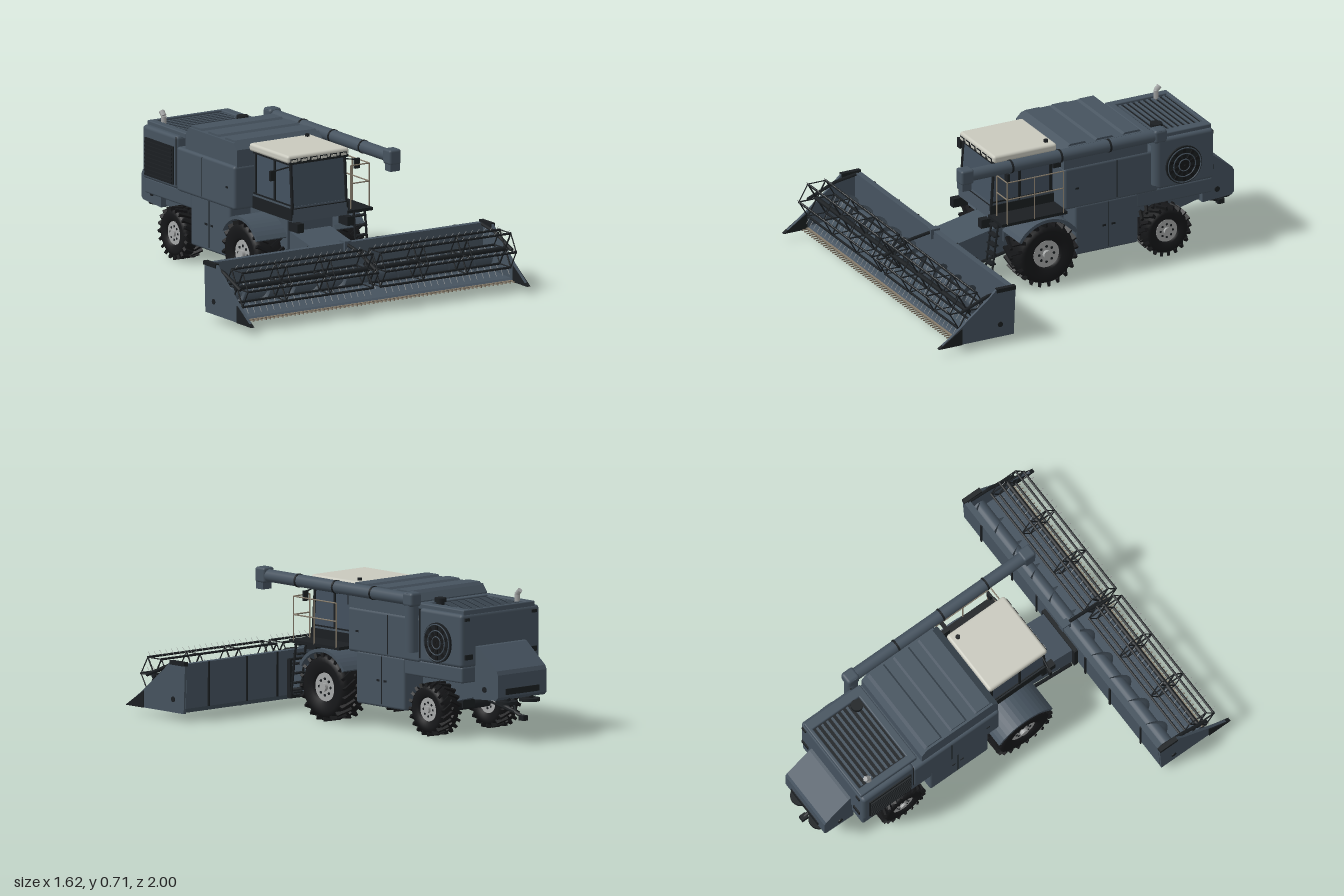
import * as THREE from 'three';
import { mergeGeometries } from 'three/addons/utils/BufferGeometryUtils.js';
import { RoundedBoxGeometry } from 'three/addons/geometries/RoundedBoxGeometry.js';
import { ParametricGeometry } from 'three/addons/geometries/ParametricGeometry.js';

const mat = (name, color, side = THREE.FrontSide) => {
  const m = new THREE.MeshStandardMaterial({ color, side });
  m.name = name;
  return m;
};
const V = (x, y, z) => new THREE.Vector3(x, y, z);

// Box from its limits, optionally rounded
function box(x0, x1, y0, y1, z0, z1, r = 0) {
  const s = [x1 - x0, y1 - y0, z1 - z0];
  const g = r ? new RoundedBoxGeometry(...s, 2, r) : new THREE.BoxGeometry(...s);
  return g.translate((x0 + x1) / 2, (y0 + y1) / 2, (z0 + z1) / 2);
}
// Side outline of [z, y] points stretched across x
function slab(pts, x0, x1) {
  const shape = new THREE.Shape(pts.map(([z, y]) => new THREE.Vector2(z, y)));
  return new THREE.ExtrudeGeometry(shape, { depth: x1 - x0, bevelEnabled: false })
    .rotateY(-Math.PI / 2).translate(x1, 0, 0);
}
// Round bar between two points
function rod(a, b, r = 0.005, sides = 6) {
  const d = b.clone().sub(a);
  const q = new THREE.Quaternion().setFromUnitVectors(V(0, 1, 0), d.clone().normalize());
  return new THREE.CylinderGeometry(r, r, d.length(), sides).applyQuaternion(q)
    .translate((a.x + b.x) / 2, (a.y + b.y) / 2, (a.z + b.z) / 2);
}
// Disc or drum with its axis along x
const drum = (x0, x1, y, z, r, sides = 32) => rod(V(x0, y, z), V(x1, y, z), r, sides);
const path = (pts, r) => pts.slice(1).map((p, i) => rod(pts[i], p, r));

export function createModel() {
  const paint = mat('slate paint', 0x46535f);
  const glass = mat('cab glass', 0x43515f);
  const dark = mat('dark trim', 0x1b1f22);
  const rubber = mat('tyre rubber', 0x161719);
  const steel = mat('wheel steel', 0xa6a8a8);
  const cream = mat('roof cream', 0xc9c9be);
  const tan = mat('rail tan', 0x857b6b);
  const flightMat = mat('auger slate', 0x3c4751, THREE.DoubleSide);
  const model = new THREE.Group();
  // One mesh per part, merged from any nesting of geometries
  const add = (name, material, geos, parent = model) => {
    const list = [geos].flat(Infinity).map(g => (g.index ? g.toNonIndexed() : g));
    const mesh = new THREE.Mesh(mergeGeometries(list), material);
    mesh.name = name;
    parent.add(mesh);
  };

  // Body
  add('belly', paint, slab([[0.28, 0.36], [0.28, 0.2], [0.05, 0.11], [-0.4, 0.11], [-0.8, 0.21], [-0.8, 0.36]], -0.13, 0.13));
  add('sidePanels', paint, box(-0.25, 0.25, 0.105, 0.365, -0.4, -0.05, 0.012));
  add('upperBody', paint, box(-0.262, 0.252, 0.355, 0.575, -0.51, 0.01, 0.015));
  add('rearSkirt', paint, box(-0.25, 0.245, 0.285, 0.365, -0.81, -0.39, 0.01));
  add('engineHousing', paint, box(-0.262, 0.252, 0.36, 0.625, -0.815, -0.505, 0.018));
  add('grainTank', paint, slab([[0.01, 0.57], [-0.45, 0.57], [-0.45, 0.645], [-0.42, 0.685], [-0.02, 0.685], [0.01, 0.655]], -0.247, 0.247));
  add('tankCoverFolds', paint, [-0.37, -0.22, -0.07].map(z =>
    slab([[z + 0.055, 0.68], [z - 0.055, 0.68], [z - 0.04, 0.695], [z + 0.04, 0.695]], -0.235, 0.235)));
  add('panelSeams', dark, [-1, 1].map(s => {
    const f = s > 0 ? 0.251 : -0.261, l = s * 0.2495;
    return [box(l - 0.002, l + 0.002, 0.12, 0.355, -0.237, -0.233),
      box(f - 0.002, f + 0.002, 0.37, 0.565, -0.282, -0.278),
      box(f - 0.002, f + 0.002, 0.455, 0.465, -0.07, -0.05),
      box(l - 0.003, l + 0.003, 0.23, 0.24, -0.22, -0.2),
      box(l - 0.003, l + 0.003, 0.23, 0.24, -0.27, -0.25),
      box(f - 0.002, f + 0.002, 0.38, 0.62, -0.514, -0.509)];
  }));

  // Engine deck
  add('deckFrame', paint, [box(-0.235, -0.195, 0.615, 0.645, -0.81, -0.48, 0.006), box(0.185, 0.235, 0.615, 0.645, -0.81, -0.48, 0.006),
    box(-0.235, 0.235, 0.615, 0.645, -0.81, -0.79, 0.006), box(-0.235, 0.235, 0.615, 0.645, -0.51, -0.47, 0.006)]);
  add('deckMesh', dark, box(-0.2, 0.19, 0.622, 0.63, -0.795, -0.505));
  add('deckSlats', paint, Array.from({ length: 9 }, (_, i) => box(-0.19, 0.18, 0.63, 0.637, -0.775 + i * 0.03, -0.763 + i * 0.03)));
  add('exhaust', steel, path([V(-0.19, 0.62, -0.73), V(-0.19, 0.675, -0.73), V(-0.19, 0.695, -0.75)], 0.014));
  add('airIntake', dark, [rod(V(0.15, 0.62, -0.55), V(0.15, 0.65, -0.55), 0.02, 16), rod(V(0.15, 0.65, -0.55), V(0.15, 0.67, -0.55), 0.03, 16)]);
  add('coolingFan', dark, drum(0.25, 0.262, 0.47, -0.645, 0.098));
  add('fanGuard', paint, [0.03, 0.06, 0.09].map(r => new THREE.TorusGeometry(r, 0.003, 5, 32).rotateY(Math.PI / 2).translate(0.266, 0.47, -0.645)));
  add('fanBlades', rubber, Array.from({ length: 10 }, (_, i) =>
    new THREE.BoxGeometry(0.012, 0.08, 0.016).translate(0, 0.045, 0).rotateX(i * Math.PI / 5).translate(0.26, 0.47, -0.645)));
  add('sideVent', dark, [box(-0.268, -0.26, 0.38, 0.57, -0.78, -0.53),
    Array.from({ length: 9 }, (_, i) => box(-0.276, -0.26, 0.385 + i * 0.02, 0.395 + i * 0.02, -0.775, -0.535))]);

  // Straw hood, spreaders and hitch
  add('strawHood', paint, slab([[-0.8, 0.465], [-0.83, 0.46], [-0.965, 0.355], [-0.975, 0.335], [-0.975, 0.225], [-0.96, 0.21], [-0.8, 0.2]], -0.16, 0.16));
  add('spreaders', dark, [-1, 1].map(s => [rod(V(s * 0.075, 0.185, -0.945), V(s * 0.075, 0.2, -0.945), 0.052, 20),
    rod(V(s * 0.075, 0.2, -0.945), V(s * 0.075, 0.225, -0.945), 0.02, 12)]));
  add('hitch', dark, [rod(V(0, 0.18, -0.78), V(0, 0.115, -0.985), 0.01), box(-0.015, 0.015, 0.1, 0.125, -1, -0.965),
    [-1, 1].map(s => rod(V(s * 0.1, 0.2, -0.79), V(0, 0.13, -0.93), 0.006))]);
  add('rearLamps', dark, [-1, 1].map(s => [box(s * 0.21 - 0.025, s * 0.21 + 0.025, 0.4, 0.425, -0.822, -0.81),
    box(s * 0.22 - 0.015, s * 0.22 + 0.015, 0.59, 0.605, -0.822, -0.81), drum(s * 0.16 - 0.005, s * 0.16 + 0.005, 0.255, -0.88, 0.014, 12)]));
  add('hoodGrille', dark, box(-0.11, 0.11, 0.235, 0.265, -0.979, -0.97));

  // Cab
  add('cabBase', paint, slab([[0.02, 0.355], [0.02, 0.43], [0.365, 0.43], [0.375, 0.355]], -0.16, 0.16));
  add('cabGlass', glass, slab([[0.02, 0.43], [0.02, 0.645], [0.345, 0.645], [0.362, 0.43]], -0.155, 0.155));
  add('cabFrame', dark, [-1, 1].map(s => [rod(V(s * 0.156, 0.42, 0.362), V(s * 0.156, 0.645, 0.347), 0.008),
    [0.03, 0.2].map(z => box(s * 0.156 - 0.004, s * 0.156 + 0.004, 0.42, 0.645, z, z + 0.014)),
    box(s * 0.156 - 0.004, s * 0.156 + 0.004, 0.425, 0.437, 0.02, 0.362),
    box(s * 0.156 - 0.004, s * 0.156 + 0.004, 0.632, 0.646, 0.02, 0.347)]));
  add('cabFrontBar', dark, [box(-0.156, 0.156, 0.418, 0.422, 0.36, 0.37), box(-0.17, 0.17, 0.64, 0.653, 0.33, 0.361)]);
  add('cabRoof', cream, box(-0.18, 0.178, 0.645, 0.685, 0.01, 0.36, 0.014));
  add('roofLampHousings', dark, Array.from({ length: 6 }, (_, i) => box(-0.165 + i * 0.057, -0.125 + i * 0.057, 0.648, 0.668, 0.35, 0.364)));
  add('roofLamps', cream, Array.from({ length: 6 }, (_, i) => box(-0.161 + i * 0.057, -0.129 + i * 0.057, 0.652, 0.664, 0.36, 0.366)));
  add('beacon', dark, rod(V(0.135, 0.68, 0.05), V(0.135, 0.698, 0.05), 0.011, 12));
  add('mirrors', dark, [-1, 1].map(s => [box(s * 0.245 - 0.015, s * 0.245 + 0.015, 0.565, 0.615, 0.315, 0.328),
    rod(V(s * 0.16, 0.625, 0.335), V(s * 0.245, 0.61, 0.322), 0.004)]));

  // Access platform, ladder and rails
  add('platform', dark, [box(0.155, 0.3, 0.36, 0.375, 0.02, 0.38), box(0.155, 0.165, 0.36, 0.42, 0.02, 0.37), box(-0.165, -0.155, 0.36, 0.42, 0.02, 0.37)]);
  add('ladder', dark, [[0.19, 0.255].map(x => rod(V(x, 0.375, 0.375), V(x, 0.08, 0.415), 0.006)),
    Array.from({ length: 6 }, (_, i) => box(0.19, 0.255, 0.1 + i * 0.048, 0.107 + i * 0.048, 0.395 - i * 0.0065, 0.425 - i * 0.0065))]);
  add('platformRails', tan, [[0.5, 0.59].map(y => path([V(0.19, y, 0.35), V(0.298, y, 0.35), V(0.298, y, 0.04)], 0.0035)),
    [0.35, 0.2, 0.04].map(z => rod(V(0.298, 0.37, z), V(0.298, 0.59, z), 0.0035)), rod(V(0.19, 0.37, 0.35), V(0.19, 0.59, 0.35), 0.0035)]);

  // Unloading tube
  add('unloadingTube', paint, [rod(V(0.283, 0.668, 0.56), V(0.283, 0.668, -0.49), 0.031, 20), rod(V(0.283, 0.41, -0.487), V(0.283, 0.7, -0.487), 0.033, 20),
    box(0.249, 0.318, 0.635, 0.705, -0.525, -0.455, 0.015), box(0.25, 0.317, 0.632, 0.708, 0.54, 0.61, 0.012), box(0.255, 0.312, 0.6, 0.64, 0.555, 0.605)]);
  add('tubeClamps', dark, [0.33, 0.06, -0.21].map(z => rod(V(0.283, 0.668, z), V(0.283, 0.668, z - 0.01), 0.034, 20)));
  add('tubeBracket', dark, [box(0.2, 0.28, 0.635, 0.645, 0.03, 0.05), box(0.2, 0.215, 0.575, 0.645, 0, 0.05)]);

  // Wheels: lathed tyre, angled lugs, rim with hub and bolts
  function wheel(name, x, z, R, w, rim) {
    const g = new THREE.Group();
    g.name = name;
    const r = R - 0.012, h = w / 2;
    const prof = [[rim, -h * 0.75], [rim * 1.15, -h * 0.95], [r * 0.8, -h], [r * 0.95, -h * 0.9], [r, -h * 0.6],
      [r, h * 0.6], [r * 0.95, h * 0.9], [r * 0.8, h], [rim * 1.15, h * 0.95], [rim, h * 0.75]];
    add('tyre', rubber, new THREE.LatheGeometry(prof.map(p => new THREE.Vector2(...p)), 36).rotateZ(Math.PI / 2), g);
    const n = 20, lugs = [];
    for (let i = 0; i < n; i++) for (const s of [-1, 1]) {
      lugs.push(new THREE.BoxGeometry(w * 0.53, 0.022, 0.014).rotateY(s * 0.5)
        .translate(s * w * 0.25, R - 0.011, 0).rotateX((i + (s > 0 ? 0.5 : 0)) * Math.PI * 2 / n));
    }
    add('lugs', rubber, lugs, g);
    add('rim', steel, [drum(-h * 0.78, h * 0.78, 0, 0, rim), drum(-h, h, 0, 0, rim * 0.3, 16)], g);
    const bolts = [];
    for (let i = 0; i < 8; i++) {
      const a = i * Math.PI / 4;
      bolts.push(drum(-h * 0.82, h * 0.82, Math.cos(a) * rim * 0.58, Math.sin(a) * rim * 0.58, rim * 0.1, 8));
    }
    add('bolts', dark, bolts, g);
    g.position.set(x, R, z);
    model.add(g);
  }
  for (const s of [-1, 1]) {
    const side = s > 0 ? 'left' : 'right';
    wheel(side + 'FrontWheel', s * 0.23, 0.13, 0.167, 0.155, 0.07);
    wheel(side + 'RearWheel', s * 0.195, -0.56, 0.13, 0.115, 0.058);
    const arch = r => Array.from({ length: 17 }, (_, i) => {
      const a = 0.55 + i * (Math.PI - 1.1) / 16;
      return [0.13 + r * Math.cos(a), 0.167 + r * Math.sin(a)];
    });
    const x = s > 0 ? [0.14, 0.313] : [-0.313, -0.14];
    add(side + 'Fender', paint, slab([...arch(0.19), ...arch(0.174).reverse()], ...x));
  }
  add('axles', dark, [drum(-0.2, 0.2, 0.167, 0.13, 0.035, 12), drum(-0.17, 0.17, 0.13, -0.56, 0.025, 12), box(-0.04, 0.04, 0.12, 0.25, -0.59, -0.53)]);

  // Feeder house
  add('feederHouse', paint, slab([[0.58, 0.225], [0.58, 0.06], [0.3, 0.14], [0.1, 0.17], [0.1, 0.31], [0.28, 0.285]], -0.116, 0.118));
  add('feederFrame', dark, [-1, 1].map(s => [box(s * 0.122 - 0.012, s * 0.122 + 0.012, 0.05, 0.235, 0.555, 0.578),
    rod(V(s * 0.13, 0.15, 0.25), V(s * 0.13, 0.09, 0.54), 0.009), box(s * 0.145 - 0.018, s * 0.145 + 0.018, 0.31, 0.355, 0.34, 0.42)]));
  add('feederLip', dark, [box(-0.13, 0.13, 0.225, 0.24, 0.555, 0.578), box(-0.13, 0.13, 0.045, 0.06, 0.555, 0.578)]);

  // Header trough and end dividers
  add('headerTrough', paint, slab([[0.575, 0.28], [0.605, 0.28], [0.608, 0.12], [0.64, 0.06], [0.85, 0.052], [0.87, 0.04], [0.61, 0.035], [0.58, 0.06]], -0.795, 0.795));
  add('dividers', paint, [-1, 1].map(s => slab([[0.575, 0.285], [0.585, 0.035], [0.998, 0.035], [0.9, 0.105], [0.73, 0.24], [0.68, 0.285]],
    s * 0.799 - 0.007, s * 0.799 + 0.007)));
  add('dividerTips', dark, [-1, 1].map(s => [slab([[0.87, 0.035], [1, 0.035], [0.87, 0.12]], s * 0.801 - 0.01, s * 0.801 + 0.01),
    drum(s * 0.801 - 0.008, s * 0.801 + 0.008, 0.1, 0.66, 0.014, 12), box(s * 0.8 - 0.012, s * 0.8 + 0.012, 0.27, 0.29, 0.575, 0.68)]));
  add('headerRibs', dark, [-0.65, -0.4, -0.2, 0.2, 0.4, 0.65].map(x => [box(x - 0.005, x + 0.005, 0.06, 0.28, 0.57, 0.577), box(x - 0.005, x + 0.005, 0.032, 0.037, 0.62, 0.84)]));
  add('knifeBar', tan, box(-0.79, 0.79, 0.036, 0.044, 0.855, 0.875));
  add('knifeFingers', tan, Array.from({ length: 66 }, (_, i) => box(-0.782 + i * 0.024, -0.778 + i * 0.024, 0.038, 0.044, 0.87, 0.905)));

  // Crop auger with opposed spiral flights
  add('augerTube', paint, drum(-0.79, 0.79, 0.12, 0.66, 0.036, 20));
  add('augerFlights', flightMat, [-1, 1].map(s => new ParametricGeometry((u, v, p) => {
    const a = u * Math.PI * 10, r = 0.034 + v * 0.027;
    p.set(s * (0.04 + u * 0.74), 0.12 + r * Math.cos(a), 0.66 + r * Math.sin(a));
  }, 120, 1)));

  // Reel: two halves, six bars each, with tines and spiders
  const RY = 0.195, RZ = 0.825, RR = 0.098;
  const bars = [], tines = [], spiders = [];
  for (const s of [-1, 1]) for (let i = 0; i < 6; i++) {
    const a = i * Math.PI / 3, b = a + Math.PI / 3;
    const y = RY + RR * Math.sin(a), z = RZ + RR * Math.cos(a);
    bars.push(rod(V(s * 0.02, y, z), V(s * 0.78, y, z), 0.006));
    for (const x of [0.022, 0.27, 0.525, 0.778]) {
      spiders.push(rod(V(s * x, RY, RZ), V(s * x, y, z), 0.004),
        rod(V(s * x, y, z), V(s * x, RY + RR * Math.sin(b), RZ + RR * Math.cos(b)), 0.003));
    }
    const out = i < 3 ? 0.022 : -0.03;
    for (let k = 0; k < 20; k++) {
      const x = s * (0.045 + k * 0.0375);
      tines.push(rod(V(x, y, z), V(x, y + out, z + 0.02), 0.0015, 4));
    }
  }
  add('reelBars', dark, bars);
  add('reelTines', steel, tines);
  add('reelSpiders', dark, spiders);
  add('reelShaft', dark, drum(-0.79, 0.79, RY, RZ, 0.012, 10));
  add('reelArms', dark, [-0.788, 0, 0.788].map(x => path([V(x, 0.275, 0.59), V(x, 0.255, 0.72), V(x, RY, 0.87)], 0.009)));
  add('reelCentreMount', paint, box(-0.018, 0.018, 0.24, 0.29, 0.572, 0.62));
  return model;
}
